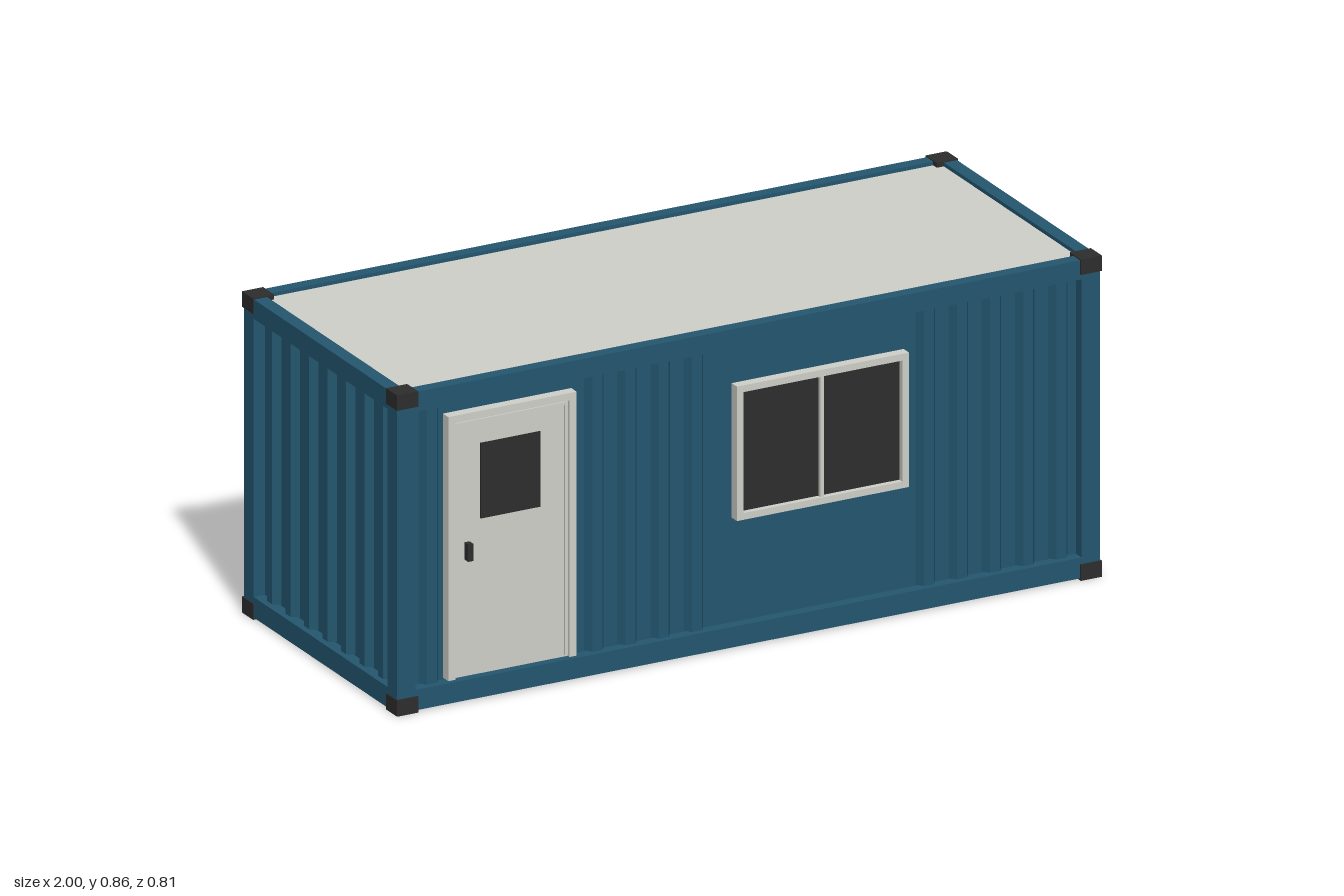
import * as THREE from 'three';

const mat = (name, color) => {
  const m = new THREE.MeshStandardMaterial({ color });
  m.name = name;
  return m;
};

export function createModel() {
  const blue = mat('container blue', 0x23566f);
  const light = mat('off white', 0xd0d0c9);
  const dark = mat('charcoal', 0x2d2d2d);
  const model = new THREE.Group();
  model.name = 'containerCabin';

  // Box given by its min and max along each axis
  const box = (name, material, [x0, x1], [y0, y1], [z0, z1], parent = model) => {
    const mesh = new THREE.Mesh(new THREE.BoxGeometry(x1 - x0, y1 - y0, z1 - z0), material);
    mesh.position.set((x0 + x1) / 2, (y0 + y1) / 2, (z0 + z1) / 2);
    mesh.name = name;
    parent.add(mesh);
    return mesh;
  };
  const span = (s, a, b) => (s > 0 ? [a, b] : [-b, -a]);

  // Frame: posts, corner castings and rails
  for (const sx of [1, -1]) {
    for (const sz of [1, -1]) {
      box('cornerPost', blue, span(sx, 0.945, 0.997), [0.04, 0.825], span(sz, 0.35, 0.4));
      for (const y of [[0, 0.043], [0.819, 0.86]]) {
        box('cornerCasting', dark, span(sx, 0.94, 1), y, span(sz, 0.347, 0.405));
      }
    }
  }
  for (const [name, y] of [['bottomRail', [0.005, 0.06]], ['topRail', [0.805, 0.857]]]) {
    for (const s of [1, -1]) {
      box(name, blue, [-0.945, 0.945], y, span(s, 0.366, 0.4));
      box(name, blue, span(s, 0.96, 0.997), y, [-0.35, 0.35]);
    }
  }

  // Roof and floor
  box('roof', light, [-0.961, 0.961], [0.82, 0.847], [-0.367, 0.367]);
  box('floor', dark, [-0.961, 0.961], [0.01, 0.04], [-0.367, 0.367]);

  // Corrugated wall: flat sheet with tapered upright ribs facing +z
  const profile = new THREE.Shape([
    new THREE.Vector2(-0.028, 0), new THREE.Vector2(0.028, 0),
    new THREE.Vector2(0.014, -0.02), new THREE.Vector2(-0.014, -0.02),
  ]);
  const ribGeometry = new THREE.ExtrudeGeometry(profile, { depth: 0.738, bevelEnabled: false });
  ribGeometry.rotateX(-Math.PI / 2);
  const wall = (name, halfWidth, count, pitch, distance, angle, skip = () => false) => {
    const group = new THREE.Group();
    group.name = name;
    box('wallSheet', blue, [-halfWidth, halfWidth], [0.03, 0.83], [distance - 0.02, distance], group);
    for (let i = 0; i < count; i++) {
      const x = (i - (count - 1) / 2) * pitch;
      if (skip(x)) continue;
      const rib = new THREE.Mesh(ribGeometry, blue);
      rib.name = 'wallRib';
      rib.position.set(x, 0.063, distance - 0.0005);
      group.add(rib);
    }
    group.rotation.y = angle;
    model.add(group);
  };
  // Front wall stays flat behind the door and around the window
  const opening = (x) => (x > -0.86 && x < -0.46) || (x > -0.1 && x < 0.48);
  wall('frontWall', 0.95, 20, 0.094, 0.37, 0, opening);
  wall('backWall', 0.95, 20, 0.094, 0.37, Math.PI);
  wall('rightWall', 0.355, 7, 0.0965, 0.965, Math.PI / 2);
  wall('leftWall', 0.355, 7, 0.0965, 0.965, -Math.PI / 2);

  // Door with surround, raised trim, pane and handle
  const door = new THREE.Group();
  door.name = 'door';
  model.add(door);
  box('doorLeaf', light, [-0.84, -0.5], [0.065, 0.755], [0.36, 0.388], door);
  for (const x of [[-0.851, -0.831], [-0.507, -0.487]]) {
    box('doorJamb', light, x, [0.065, 0.772], [0.36, 0.398], door);
  }
  box('doorHead', light, [-0.831, -0.507], [0.752, 0.772], [0.36, 0.398], door);
  for (const x of [[-0.829, -0.821], [-0.517, -0.509]]) {
    box('doorTrim', light, x, [0.07, 0.748], [0.386, 0.393], door);
  }
  box('doorTrim', light, [-0.821, -0.517], [0.74, 0.748], [0.386, 0.393], door);
  box('doorPane', dark, [-0.755, -0.585], [0.48, 0.682], [0.384, 0.391], door);
  box('doorHandle', dark, [-0.8, -0.785], [0.378, 0.424], [0.386, 0.408], door);

  // Two-pane window
  const win = new THREE.Group();
  win.name = 'window';
  model.add(win);
  for (const x of [[-0.032, -0.013], [0.437, 0.456]]) {
    box('windowSide', light, x, [0.34, 0.7], [0.36, 0.398], win);
  }
  for (const y of [[0.34, 0.358], [0.682, 0.7]]) {
    box('windowBar', light, [-0.013, 0.437], y, [0.36, 0.398], win);
  }
  box('windowGlass', dark, [-0.013, 0.437], [0.358, 0.682], [0.376, 0.383], win);
  box('windowMullion', light, [0.207, 0.217], [0.358, 0.682], [0.375, 0.393], win);

  return model;
}
